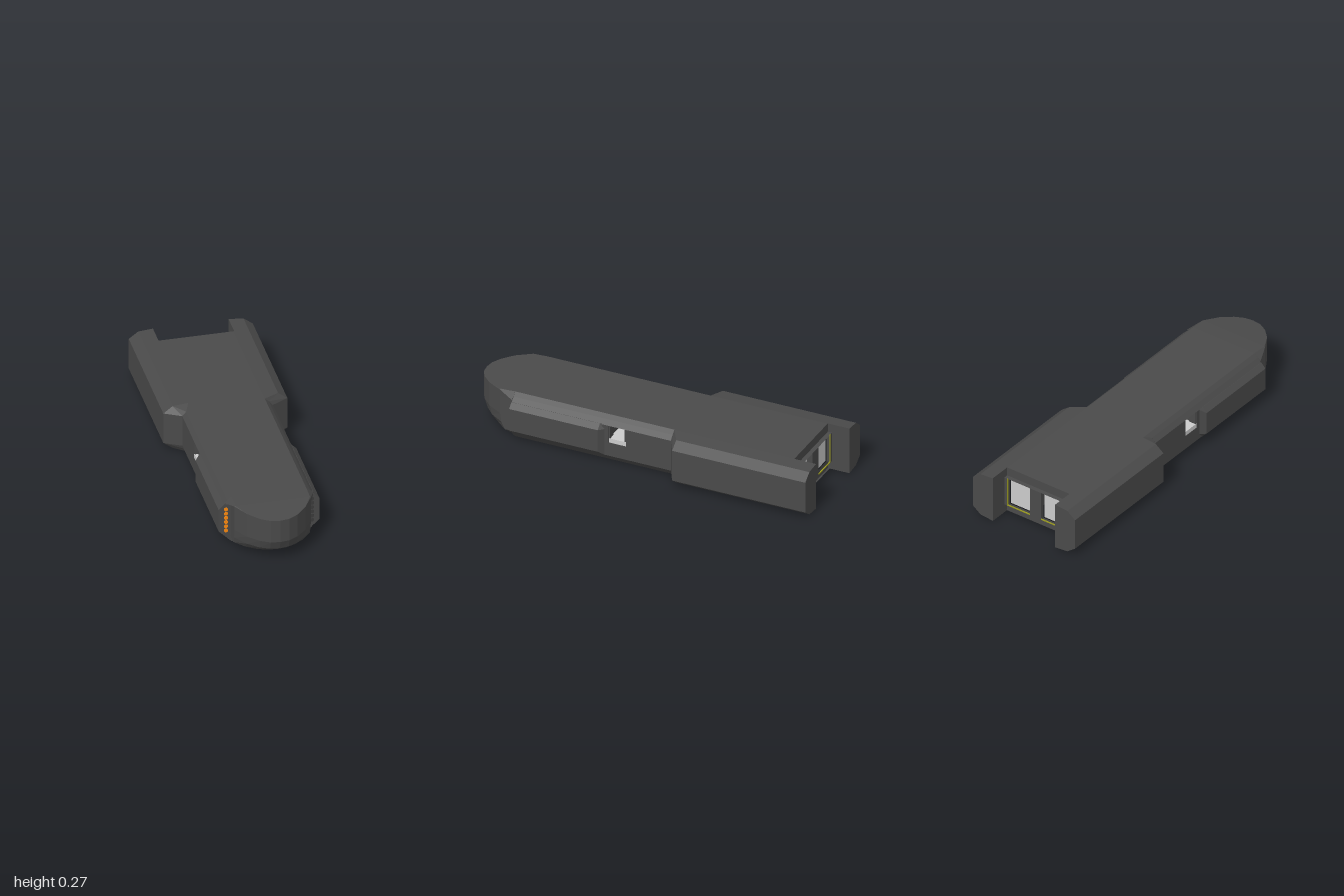
import * as THREE from 'three';

const material = (color) => new THREE.MeshStandardMaterial({ color, flatShading: true });

// Half outlines, from top to bottom on the +x side
const REAR = [[0.2, 0.27], [0.283, 0.263], [0.333, 0.225], [0.333, 0.045], [0.283, 0.008], [0.2, 0]];
const MID = [[0.2, 0.27], [0.222, 0.25], [0.243, 0.225], [0.243, 0.045], [0.222, 0.02], [0.2, 0]];
const flip = (pts) => pts.map(([x, y]) => [-x, y]).reverse();
const whole = (half) => [...half, ...flip(half)];
const at = (pts, z) => pts.map(([x, y]) => [x, y, z]);

// Flat-faced skin over a stack of rings; the ends are closed with strips
function skin(rings) {
  const n = rings[0].length, pos = [];
  const quad = (a, b, c, d) => pos.push(...a, ...b, ...c, ...a, ...c, ...d);
  for (let r = 0; r < rings.length - 1; r++) {
    const p = rings[r], q = rings[r + 1];
    for (let i = 0; i < n; i++) {
      const j = (i + 1) % n;
      quad(p[i], p[j], q[j], q[i]);
    }
  }
  const first = rings[0], last = rings[rings.length - 1];
  for (let i = 0; i + 1 < n - 1 - i; i++) {
    const j = n - 1 - i;
    quad(first[i], first[j], first[j - 1], first[i + 1]);
    quad(last[i], last[i + 1], last[j - 1], last[j]);
  }
  const g = new THREE.BufferGeometry();
  g.setAttribute('position', new THREE.Float32BufferAttribute(pos, 3));
  g.computeVertexNormals();
  return g;
}

// Solid plate of a 2D outline between two z values
function plate(pts, z0, z1, holes = []) {
  const toVec = (list) => list.map(([x, y]) => new THREE.Vector2(x, y));
  const shape = new THREE.Shape(toVec(pts));
  holes.forEach((h) => shape.holes.push(new THREE.Path(toVec(h))));
  return new THREE.ExtrudeGeometry(shape, { depth: z1 - z0, bevelEnabled: false }).translate(0, 0, z0);
}

function box(x0, x1, y0, y1, z0, z1) {
  return new THREE.BoxGeometry(x1 - x0, y1 - y0, z1 - z0)
    .translate((x0 + x1) / 2, (y0 + y1) / 2, (z0 + z1) / 2);
}

const rect = (x0, x1, y0, y1) => [[x1, y1], [x1, y0], [x0, y0], [x0, y1]];

export function createModel() {
  const model = new THREE.Group();
  const hull = material(0x4a4a4a);
  const dark = material(0x3c3c3c);
  const grey = material(0xcccccc);
  const white = material(0xffffff);
  const orange = material(0xff8c10);
  const yellow = material(0x9a9a20);
  const add = (name, geometry, mat) => {
    const mesh = new THREE.Mesh(geometry, mat);
    mesh.name = name;
    model.add(mesh);
  };

  // Main hull: narrow front, shoulder, wide rear
  add('frontHull', skin([at(whole(MID), 0.74), at(whole(MID), 0.18)]), hull);
  add('rearHull', skin([at(whole(MID), 0.08), at(whole(MID), -0.18),
    at(whole(REAR), -0.23), at(whole(REAR), -0.5)]), hull);

  // Slice of hull with a hangar recess on each side
  const notched = [...MID.slice(0, 3), [0.12, 0.225], [0.12, 0.125], [0.243, 0.125], ...MID.slice(3)];
  add('hangarSection', plate(whole(notched), 0.08, 0.18), hull);

  // Rear hull with two engine bays
  const bays = [[-0.185, -0.035], [0.035, 0.185]];
  add('bayHull', plate(whole(REAR), -0.875, -0.5, bays.map(([a, b]) => rect(a, b, 0.05, 0.22))), hull);
  for (const [a, b] of bays) {
    // Inward-facing lining, open towards the rear
    const r = rect(a + 0.002, b - 0.002, 0.052, 0.218);
    add('bayLining', skin([at(r, -0.87), at(r, -0.502)].reverse()), grey);
    add('bayTrim', box(a, b, 0.05, 0.055, -0.9, -0.894), yellow);
    const edge = a > 0 ? b - 0.004 : a;
    add('bayTrim', box(edge, edge + 0.004, 0.05, 0.22, -0.9, -0.894), yellow);
  }

  // Bay frame with sloping upper and lower bars
  const bars = [
    [[0.27, -0.875], [0.25, -0.9], [0.22, -0.9], [0.22, -0.875]],
    [[0.05, -0.875], [0.05, -0.9], [0.02, -0.9], [0, -0.875]],
  ];
  for (const bar of bars) {
    const side = (x) => bar.map(([y, z]) => [x, y, z]);
    add('bayFrameBar', skin([side(-0.203), side(0.203)]), hull);
  }
  for (const [a, b] of [[-0.203, -0.185], [-0.035, 0.035], [0.185, 0.203]]) {
    add('bayFramePost', box(a, b, 0.05, 0.22, -0.9, -0.875), hull);
  }

  // Nose: a rounded plan, stepped under at the chin
  const plan = [[0.24, 0.74], [0.205, 0.825], [0.155, 0.91], [0.1, 0.965], [0.05, 0.993], [0, 1]];
  const outline = [...plan, ...flip(plan.slice(0, -1).map(([x, z]) => [x, z]))];
  const topY = (z) => 0.27 - 0.02 * Math.max(0, (z - 0.78) / 0.22);
  const noseRing = (limit, reach, height) => outline.map(([x, z]) => {
    const cx = Math.max(-limit, Math.min(limit, x));
    const cz = 0.74 + (z - 0.74) * reach;
    return [cx, height(cx, cz), cz];
  });
  add('nose', skin([
    noseRing(0.2, 1, (x, z) => topY(z)),
    noseRing(0.24, 1, (x, z) => topY(z) - Math.max(0, Math.abs(x) - 0.2) * 0.8),
    noseRing(0.205, 1, () => 0.225),
    noseRing(0.205, 1, () => 0.12),
    noseRing(0.205, 0.92, () => 0.07),
    noseRing(0.205, 0.69, () => 0.03),
    noseRing(0.18, 0.31, () => 0.002),
  ]), hull);

  // Paired parts on both flanks
  const prong = REAR.map(([x, y]) => [Math.max(x, 0.203), y]);
  const pod = [[0.243, 0.227], [0.27, 0.2], [0.27, 0.07], [0.243, 0.043], [0.2, 0.043], [0.2, 0.227]];
  const podTail = pod.map(([x, y]) => [Math.min(x, 0.24), y]);
  for (const s of [1, -1]) {
    const sided = (pts) => (s > 0 ? pts : flip(pts));
    add('rearProng', skin([at(sided(prong), -0.875), at(sided(prong), -1)]), hull);
    add('sidePod', skin([at(sided(pod), 0.742), at(sided(pod), 0.23), at(sided(podTail), 0.2)]), hull);

    // Hangar back wall, floor and sill
    const span = (a, b) => (s > 0 ? [a, b] : [-b, -a]);
    add('hangarWall', box(...span(0.12, 0.124), 0.125, 0.225, 0.08, 0.18), grey);
    add('hangarSill', box(...span(0.124, 0.242), 0.125, 0.15, 0.081, 0.179), white);
    for (const z of [0.08, 0.172]) {
      add('hangarJamb', box(...span(0.2, 0.24), 0.15, 0.225, z, z + 0.008), hull);
    }

    // Column of launch tubes on the pod face
    for (let i = 0; i < 6; i++) {
      const tube = new THREE.CylinderGeometry(0.011, 0.011, 0.006, 16)
        .rotateX(Math.PI / 2).translate(s * 0.231, 0.072 + i * 0.0256, 0.742);
      add('launchTube', tube, s > 0 ? dark : orange);
    }
  }
  return model;
}
